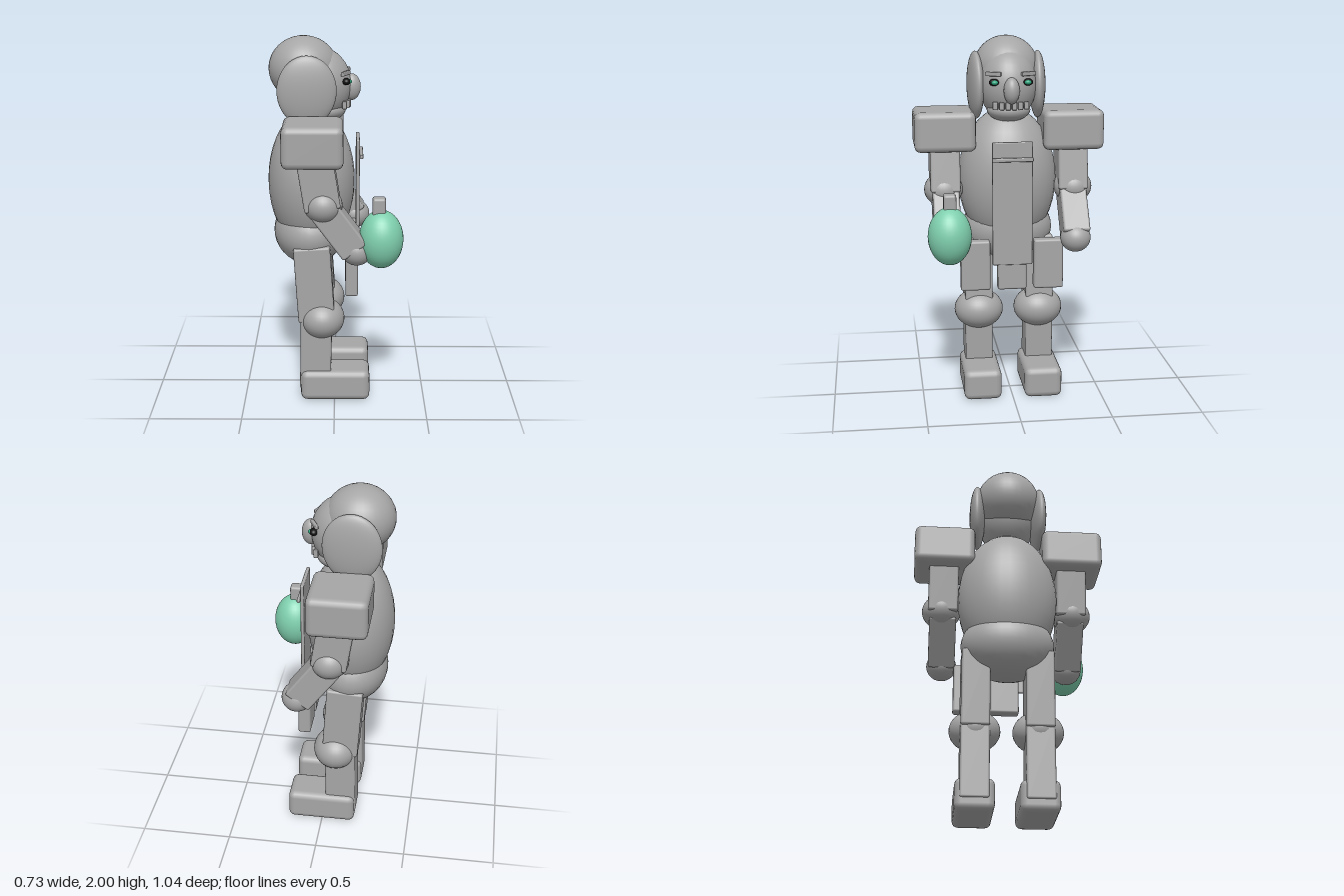
import * as THREE from 'three';
import { RoundedBoxGeometry } from 'three/addons/geometries/RoundedBoxGeometry.js';

export function createModel() {
  const root = new THREE.Group();
  root.name = 'armouredFigure';
  const mat = (name, color) => {
    const m = new THREE.MeshStandardMaterial({ color });
    m.name = name;
    return m;
  };
  const grey = mat('stone grey', 0xa6a6a6);
  const green = mat('jade green', 0x7fcfae);
  const iris = mat('deep green', 0x2fa880);
  const black = mat('black', 0x121212);

  const add = (name, geo, material, [x, y, z]) => {
    const m = new THREE.Mesh(geo, material);
    m.name = name;
    m.position.set(x, y, z);
    root.add(m);
    return m;
  };
  const ball = (name, pos, r, material = grey) => {
    const m = add(name, new THREE.SphereGeometry(1, 32, 20), material, pos);
    m.scale.set(...r);
    return m;
  };
  // softened block; size is x, y, z
  const block = (name, pos, size, radius = 0.012, material = grey) =>
    add(name, new RoundedBoxGeometry(...size, 2, radius), material, pos);
  // limb block running between two points in the side plane
  const limb = (name, a, b, z, depth, width) => {
    const dx = b[0] - a[0], dy = b[1] - a[1];
    const m = block(name, [(a[0] + b[0]) / 2, (a[1] + b[1]) / 2, z],
      [depth, Math.hypot(dx, dy), width]);
    m.rotation.z = Math.atan2(dx, -dy);
    return m;
  };

  // The figure looks along +x
  ball('torso', [-0.128, 1.21, 0], [0.238, 0.4, 0.275]);
  ball('hips', [-0.137, 0.925, 0], [0.2, 0.19, 0.255]);

  // Head
  ball('head', [-0.09, 1.74, 0], [0.18, 0.2, 0.16]);
  ball('jaw', [-0.05, 1.605, 0], [0.11, 0.065, 0.12]);
  ball('hairCap', [-0.168, 1.825, 0], [0.188, 0.175, 0.18]);
  ball('nose', [0.09, 1.725, 0], [0.05, 0.072, 0.043]);
  for (const z of [-0.085, -0.051, -0.017, 0.017, 0.051, 0.085]) {
    const x = -0.07 + 0.145 * Math.sqrt(1 - (z / 0.16) ** 2);
    block('tooth', [x, 1.64, z], [0.025, 0.042, 0.027], 0.005);
  }

  // Tabard and its clasp bar
  block('tabard', [0.126, 1.112, 0], [0.02, 0.685, 0.22], 0.006);
  block('claspBar', [0.146, 1.36, 0], [0.018, 0.022, 0.225], 0.006);
  block('centreTasset', [0.093, 0.765, 0], [0.068, 0.28, 0.16]);

  for (const s of [1, -1]) {
    const side = s > 0 ? 'left' : 'right';
    const n = (part) => side + part;

    // Face details and side hair
    const lobe = ball(n('HairLobe'), [-0.147, 1.73, s * 0.173], [0.158, 0.187, 0.044]);
    lobe.rotation.y = s * 0.06;
    ball(n('EyeSocket'), [0.062, 1.768, s * 0.092], [0.022, 0.019, 0.028], black);
    ball(n('Iris'), [0.078, 1.768, s * 0.09], [0.014, 0.012, 0.018], iris);
    const brow = block(n('Brow'), [0.058, 1.812, s * 0.095], [0.018, 0.023, 0.088], 0.005);
    brow.rotation.y = -s * 0.45;

    // Arm
    block(n('ShoulderPad'), [-0.112, 1.495, s * 0.354], [0.318, 0.22, 0.335], 0.035);
    limb(n('UpperArm'), [-0.115, 1.5], [-0.06, 1.15], s * 0.355, 0.19, 0.165);
    ball(n('Elbow'), [-0.06, 1.165, s * 0.363], [0.103, 0.095, 0.107]);
    limb(n('Forearm'), [-0.06, 1.15], [0.11, 0.92], s * 0.354, 0.155, 0.148);
    ball(n('Hand'), [0.118, 0.912, s * 0.352], [0.083, 0.08, 0.084]);

    // Leg
    block(n('Tasset'), [0.093, 0.765, s * 0.203], [0.068, 0.28, 0.163]);
    limb(n('Thigh'), [-0.125, 0.885], [-0.098, 0.46], s * 0.172, 0.2, 0.155);
    ball(n('Knee'), [-0.07, 0.46, s * 0.17], [0.125, 0.112, 0.138]);
    limb(n('Shin'), [-0.1, 0.48], [-0.107, 0.06], s * 0.172, 0.172, 0.155);
    block(n('Foot'), [0.004, 0.086, s * 0.17], [0.382, 0.172, 0.21], 0.035);
  }

  // Flask held in the left hand
  ball('flask', [0.247, 0.975, 0.352], [0.118, 0.157, 0.118], green);
  block('flaskStopper', [0.235, 1.13, 0.35], [0.07, 0.145, 0.068], 0.014);

  return root;
}
